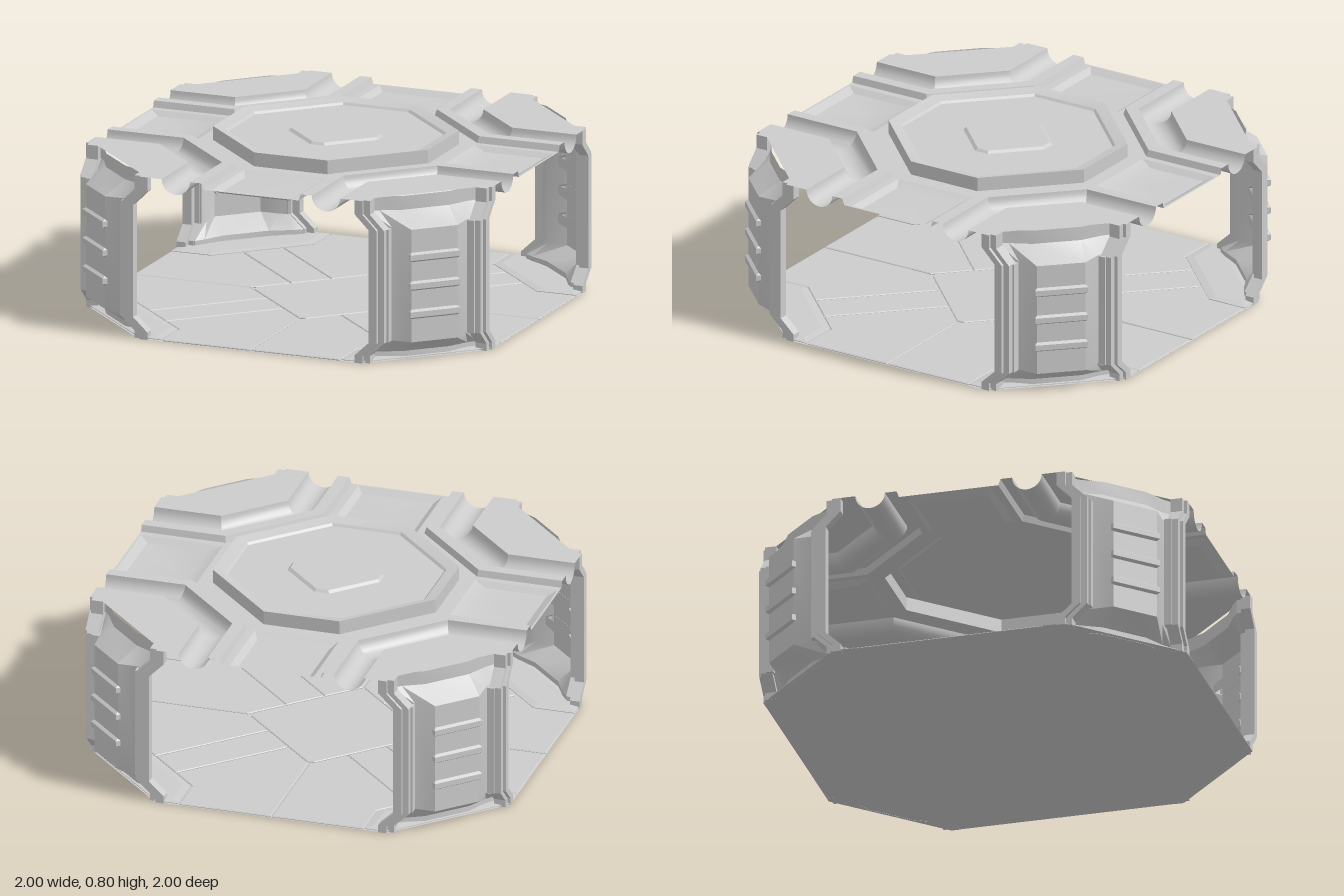
import * as THREE from 'three';
import { toCreasedNormals } from 'three/addons/utils/BufferGeometryUtils.js';

const mat = new THREE.MeshStandardMaterial({ color: 0xcccccc, side: THREE.DoubleSide });

function add(parent, name, geo) {
  const m = new THREE.Mesh(geo, mat);
  m.name = name;
  parent.add(m);
  return m;
}

// Skin between successive rows of [x, y, z] points
function loft(rows, closed = false) {
  const pos = rows.flat(2), idx = [], n = rows[0].length;
  for (let r = 0; r < rows.length - 1; r++)
    for (let i = 0; i < (closed ? n : n - 1); i++) {
      const j = (i + 1) % n, a = r * n + i, b = r * n + j;
      idx.push(a, a + n, b, b, a + n, b + n);
    }
  const g = new THREE.BufferGeometry();
  g.setAttribute('position', new THREE.Float32BufferAttribute(pos, 3));
  g.setIndex(idx);
  return toCreasedNormals(g, 0.45);
}

const toShape = pts => new THREE.Shape(pts.map(p => new THREE.Vector2(p[0], p[1])));

// Flat sheet from [x, z] points, with optional holes
function sheet(pts, y, holes = []) {
  const s = toShape(pts);
  holes.forEach(h => s.holes.push(new THREE.Path(h.map(p => new THREE.Vector2(p[0], p[1])))));
  return new THREE.ShapeGeometry(s).rotateX(Math.PI / 2).translate(0, y, 0);
}

// Low plate with a chamfered rim, standing on y = 0
function plate(pts, height, chamfer, gap) {
  const t = height * 0.4;
  return new THREE.ExtrudeGeometry(toShape(pts), {
    depth: height - 2 * t, bevelEnabled: true, bevelSegments: 1,
    bevelThickness: t, bevelSize: chamfer, bevelOffset: -chamfer - gap,
  }).rotateX(Math.PI / 2).translate(0, height - t, 0);
}

// Eight-sided loop with corners (a, b) and (b, a)
const oct = (a, b) => [[a, b], [b, a], [-b, a], [-a, b], [-a, -b], [-b, -a], [b, -a], [a, -b]];
const at = (pts, y) => pts.map(([x, z]) => [x, y, z]);
const swap = pts => pts.map(([x, z]) => [z, x]);
const rect = (x0, x1, z0, z1) => [[x0, z0], [x1, z0], [x1, z1], [x0, z1]];
const turn = (pts, q) => pts.map(([x, z]) => {
  for (let i = 0; i < q; i++) [x, z] = [z, -x];
  return [x, z];
});

// Line around one corner of the crossing at distance c from the corridor axes
const bend = c => {
  const k = 0.6 + (c - 0.24) * 0.414;
  return [[c, 1], [c, k], [k, c], [1, c]];
};

// Height and inward lean of the corner walls: 1 = fully leaning in
const lean = [[0, 1], [0.035, 1], [0.1, 0], [0.63, 0], [0.7, 1], [0.765, 1]];

function floor() {
  const g = new THREE.Group();
  g.name = 'floor';
  add(g, 'floorBase', sheet(oct(1, 0.55), 0.001));
  add(g, 'centrePanel', plate(oct(0.4, 0.02), 0.008, 0.004, 0.004));
  const side = [[0, 0.42], [0, 1], [0.44, 1], [0.44, 0.8], [0.55, 0.69], [0.14, 0.28]];
  const strip = [[0.14, 0.28], [0.55, 0.69], [0.69, 0.55], [0.28, 0.14]];
  const apron = [[0.44, 1], [0.44, 0.8], [0.8, 0.44], [1, 0.44], [1, 0.55], [0.55, 1]];
  for (let q = 0; q < 4; q++) {
    add(g, 'floorPanel', plate(turn(side, q), 0.008, 0.004, 0.003));
    add(g, 'floorPanel', plate(turn(swap(side), q), 0.008, 0.004, 0.003));
    add(g, 'floorStrip', plate(turn(strip, q), 0.008, 0.004, 0.003));
    add(g, 'wallApron', plate(turn(apron, q), 0.014, 0.035, 0.003));
  }
  return g;
}

function ceiling() {
  const g = new THREE.Group();
  g.name = 'ceiling';
  const level = 0.735, quarters = [0, 1, 2, 3];

  // Cross-shaped sheet with openings for the dome and the four recesses
  const outline = quarters.flatMap(q => turn(bend(0.235), q));
  const recess = rect(-0.2, 0.2, 0.6, 0.99);
  add(g, 'ceilingCross', sheet(outline, level, [oct(0.53, 0.18), ...quarters.map(q => turn(recess, q))]));

  // Raised central octagon with sunken plate
  add(g, 'centreOctagon', loft([
    at(oct(0.53, 0.18), level), at(oct(0.53, 0.18), 0.8), at(oct(0.475, 0.165), 0.787),
    at(oct(0.465, 0.16), 0.777), at(oct(0, 0), 0.777),
  ], true));
  add(g, 'centreDiamond', loft([
    at(oct(0.22, 0.035), 0.777), at(oct(0.208, 0.028), 0.788), at(oct(0, 0), 0.788),
  ], true));

  // Section across ridge and half-round trough: [distance, height]
  const section = [[0.235, level], [0.245, 0.765], [0.3, 0.765]];
  for (let i = 1; i <= 12; i++) {
    const a = Math.PI * (1 + i / 12);
    section.push([0.37 + 0.07 * Math.cos(a), 0.765 + 0.068 * Math.sin(a)]);
  }
  const corner = [...bend(0.44), [1, 0.51], [0.51, 1]];
  for (const q of quarters) {
    add(g, 'ceilingTrough', loft(section.map(([c, y]) => at(turn(bend(c), q), y))));
    add(g, 'ceilingCorner', sheet(turn(corner, q), 0.765));
    add(g, 'corridorRecess', loft([
      at(turn(recess, q), level),
      at(turn(rect(-0.17, 0.17, 0.66, 0.95), q), 0.715),
      at(turn(rect(0, 0, 0.8, 0.8), q), 0.715),
    ], true));
  }
  return g;
}

function cornerWall() {
  const g = new THREE.Group();
  g.name = 'cornerWall';

  // Half plan of the wall: x, z and inward shift where it leans
  const half = [
    [0.58, 0.96, -0.07, 0], [0.62, 0.96, -0.07, 0], [0.62, 0.925, -0.07, 0],
    [0.66, 0.915, -0.07, -0.02], [0.755, 0.915, -0.07, -0.07],
  ];
  const plan = [...half, ...half.map(([x, z, i, j]) => [z, x, j, i]).reverse()];
  add(g, 'wallPanel', loft(lean.map(([y, l]) => plan.map(([x, z, i, j]) => [x + i * l, y, z + j * l]))));

  // Door posts and slim rails on both edges
  for (const flip of [false, true]) {
    const side = p => (flip ? swap(p) : p);
    const post = (x0, x1, z0, z1) => {
      const rows = lean.map(([y, l]) => at(side(rect(x0 - 0.07 * l, x1 - 0.07 * l, z0, z1)), y));
      const cap = r => r.map(() => [0, 1, 2].map(k => (r[0][k] + r[2][k]) / 2));
      return loft([cap(rows[0]), ...rows, cap(rows[rows.length - 1])], true);
    };
    add(g, 'doorPost', post(0.58, 0.62, 0.955, 1));
    add(g, 'innerPost', post(0.615, 0.65, 0.93, 0.985));
    const rail = new THREE.BoxGeometry(flip ? 0.035 : 0.04, 0.53, flip ? 0.04 : 0.035);
    add(g, 'rail', rail.translate(flip ? 0.94 : 0.64, 0.365, flip ? 0.64 : 0.94));
  }

  // Three chamfered ribs across the diagonal face
  for (const y of [0.232, 0.365, 0.5]) {
    const rib = (w, d) => [[-w, d], [w, d], [w, 1.14], [-w, 1.14]]
      .map(([u, v]) => [(v + u) / Math.SQRT2, (v - u) / Math.SQRT2]);
    add(g, 'rib', loft([
      at(rib(0.11, 1.178), y - 0.024), at(rib(0.122, 1.195), y - 0.013),
      at(rib(0.122, 1.195), y + 0.013), at(rib(0.11, 1.178), y + 0.024),
    ], true));
  }
  return g;
}

export function createModel() {
  const model = new THREE.Group();
  model.name = 'corridorCrossing';
  model.add(floor(), ceiling());
  for (let q = 0; q < 4; q++) {
    const wall = cornerWall();
    wall.rotation.y = q * Math.PI / 2;
    model.add(wall);
  }
  return model;
}
